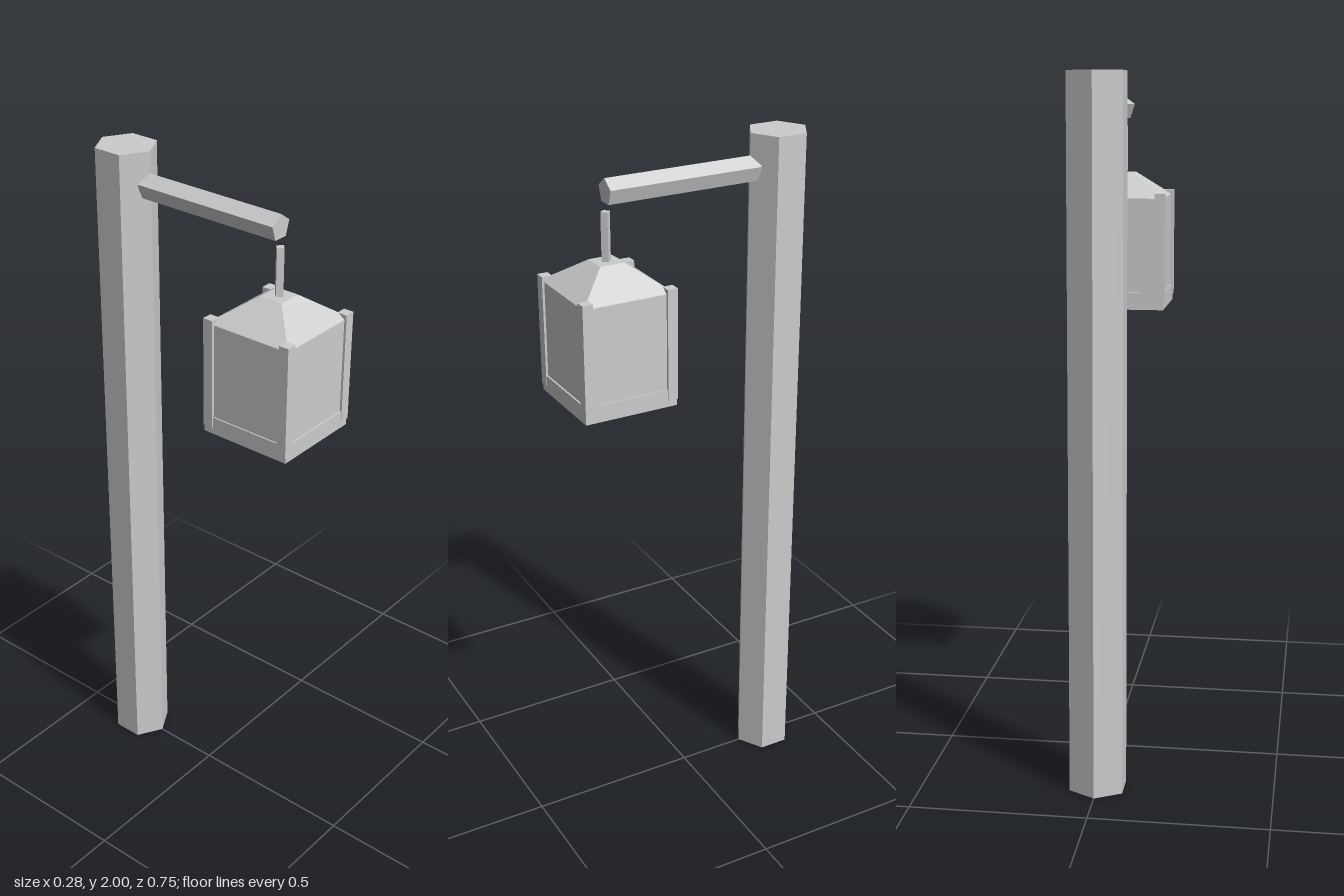
import * as THREE from 'three';

export function createModel() {
  const model = new THREE.Group();
  model.name = 'lampPost';
  const grey = new THREE.MeshStandardMaterial({ color: 0xcccccc, flatShading: true });
  grey.name = 'plain grey';

  const add = (parent, name, geometry, x, y, z) => {
    const mesh = new THREE.Mesh(geometry, grey);
    mesh.name = name;
    mesh.position.set(x, y, z);
    parent.add(mesh);
    return mesh;
  };

  // Hexagonal post with an edge facing forward
  add(model, 'post', new THREE.CylinderGeometry(0.087, 0.087, 2, 6), 0, 1, -0.29);

  // Five-sided arm, ridge upward, sunk into the post
  const arm = new THREE.CylinderGeometry(0.0365, 0.0365, 0.455, 5).rotateX(-Math.PI / 2);
  add(model, 'arm', arm, 0, 1.902, 0.0075);

  // Lantern hanging below the end of the arm
  const lantern = new THREE.Group();
  lantern.name = 'lantern';
  lantern.position.z = 0.235;
  model.add(lantern);

  add(lantern, 'hangingRod', new THREE.CylinderGeometry(0.0138, 0.0138, 0.15, 4), 0, 1.775, 0);
  add(lantern, 'base', new THREE.BoxGeometry(0.273, 0.05, 0.275), 0, 1.347, 0);
  add(lantern, 'panes', new THREE.BoxGeometry(0.265, 0.29, 0.265), 0, 1.5, 0);

  // Truncated pyramid roof
  const roof = new THREE.CylinderGeometry(0.035 * Math.SQRT2, 0.133 * Math.SQRT2, 0.071, 4);
  add(lantern, 'roof', roof.rotateY(Math.PI / 4), 0, 1.6795, 0);

  // Corner bars rising just past the eaves
  for (const sx of [-1, 1]) {
    for (const sz of [-1, 1]) {
      add(lantern, 'cornerBar', new THREE.BoxGeometry(0.03, 0.318, 0.03), sx * 0.125, 1.5, sz * 0.124);
    }
  }
  return model;
}
